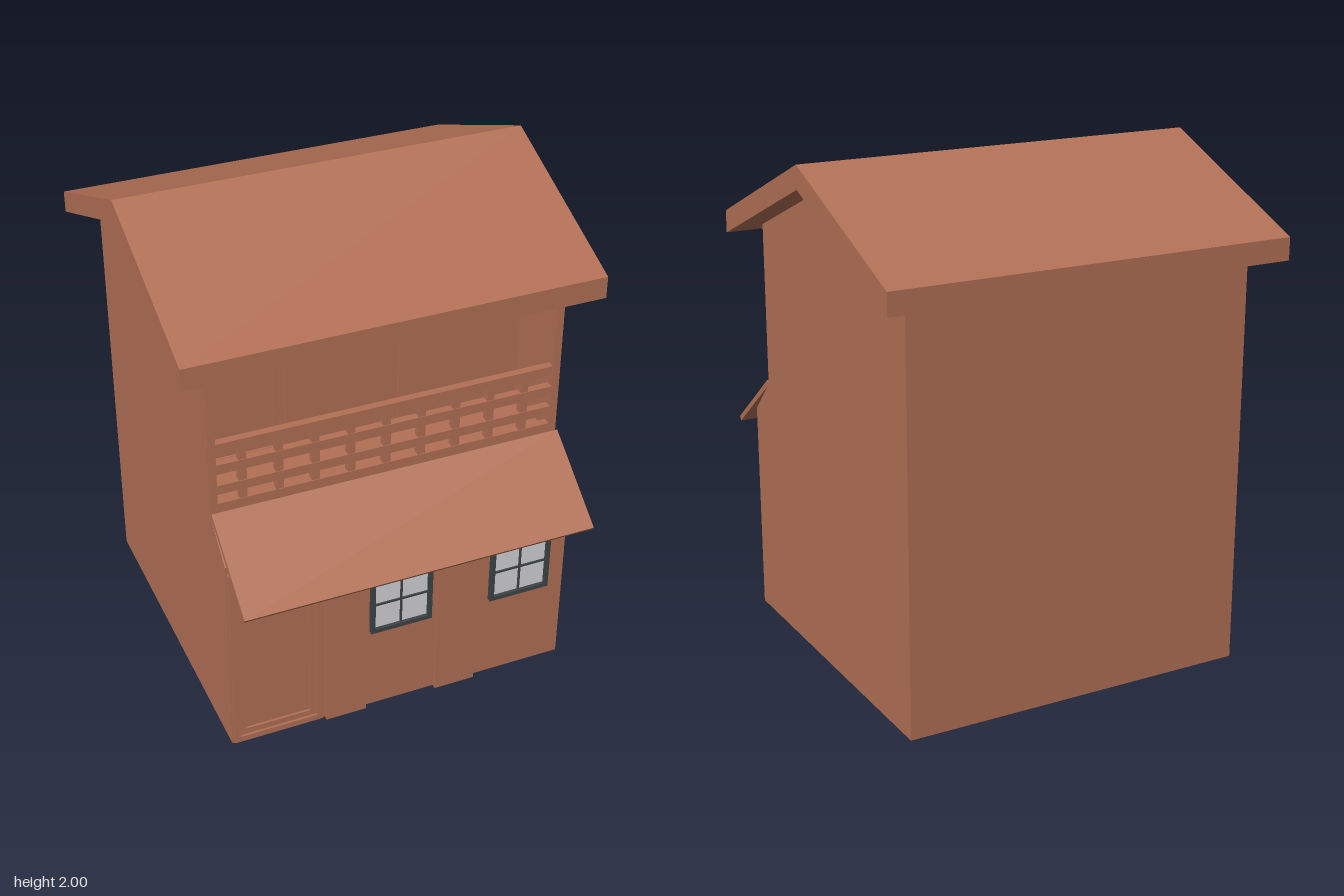
import * as THREE from 'three';

const brown = new THREE.MeshStandardMaterial({ color: 0xb27055 });
brown.name = 'terracotta';
const dark = new THREE.MeshStandardMaterial({ color: 0x3d4446 });
dark.name = 'frameGrey';
const pane = new THREE.MeshStandardMaterial({ color: 0xd6d6d8 });
pane.name = 'paleGlass';

export function createModel() {
  const house = new THREE.Group();
  house.name = 'house';

  const add = (name, geometry, material = brown, parent = house) => {
    const mesh = new THREE.Mesh(geometry, material);
    mesh.name = name;
    parent.add(mesh);
    return mesh;
  };
  // box given by its limits
  const box = (name, x0, x1, y0, y1, z0, z1, material, parent) => {
    const g = new THREE.BoxGeometry(x1 - x0, y1 - y0, z1 - z0);
    g.translate((x0 + x1) / 2, (y0 + y1) / 2, (z0 + z1) / 2);
    return add(name, g, material, parent);
  };
  // side profile of [z, y] points, swept from x0 to x1
  const sweep = (name, points, x0, x1) => {
    const shape = new THREE.Shape(points.map(([z, y]) => new THREE.Vector2(z, y)));
    const g = new THREE.ExtrudeGeometry(shape, { depth: x1 - x0, bevelEnabled: false });
    g.rotateY(-Math.PI / 2);
    g.translate(x1, 0, 0);
    return add(name, g);
  };
  // rectangular ring of width t
  const ring = (name, x0, x1, y0, y1, t, z0, z1, material, parent) => {
    const s = new THREE.Shape([[x0, y0], [x1, y0], [x1, y1], [x0, y1]].map(p => new THREE.Vector2(...p)));
    s.holes.push(new THREE.Path([[x0 + t, y0 + t], [x0 + t, y1 - t], [x1 - t, y1 - t], [x1 - t, y0 + t]]
      .map(p => new THREE.Vector2(...p))));
    const g = new THREE.ExtrudeGeometry(s, { depth: z1 - z0, bevelEnabled: false });
    g.translate(0, 0, z0);
    return add(name, g, material, parent);
  };

  const W = 0.705;

  // walls: ground floor, set-back upper room, cheeks beside the balcony
  sweep('groundFloor', [[-0.74, 0], [0.64, 0], [0.64, 0.86], [0.5, 1], [-0.74, 1]], -W, W);
  sweep('upperRoom', [[-0.74, 1], [0.22, 1], [0.22, 1.77], [-0.12, 1.91], [-0.74, 1.654]], -W, W);
  for (const s of [-1, 1]) {
    const a = s < 0 ? -W : 0.675;
    sweep('balconyCheek', [[0.22, 1], [0.5, 1], [0.5, 1.654], [0.22, 1.77]], a, a + 0.03);
  }

  // gabled roof slab
  sweep('roof', [[0.595, 1.615], [0.595, 1.703], [-0.12, 2], [-0.838, 1.703], [-0.838, 1.615], [-0.12, 1.91]],
    -0.818, 0.818);

  // awning
  sweep('awning', [[0.5, 0.998], [0.826, 0.75], [0.838, 0.766], [0.515, 1.014]], -W, W);

  // pilasters on both floors
  for (const [x0, x1] of [[-0.32, -0.152], [0.148, 0.318]]) {
    sweep('lowerPilaster', [[0.63, 0], [0.66, 0], [0.66, 0.84], [0.63, 0.87]], x0, x1);
    box('upperPilaster', x0 + 0.01, x1 - 0.01, 1, 1.76, 0.21, 0.24);
  }

  // front door
  const door = new THREE.Group();
  door.name = 'frontDoor';
  house.add(door);
  ring('doorFrame', -0.7, -0.335, 0.015, 0.83, 0.025, 0.635, 0.66, brown, door);
  ring('doorBorder', -0.675, -0.36, 0.04, 0.805, 0.025, 0.635, 0.65, brown, door);
  box('doorPanel', -0.612, -0.423, 0.48, 0.71, 0.635, 0.646, brown, door);

  // balcony door
  const upperDoor = new THREE.Group();
  upperDoor.name = 'balconyDoor';
  house.add(upperDoor);
  ring('doorFrame', -0.675, -0.315, 1.0, 1.605, 0.014, 0.21, 0.24, brown, upperDoor);
  ring('doorBorder', -0.661, -0.329, 1.014, 1.591, 0.022, 0.21, 0.23, brown, upperDoor);

  // balcony railing: rails with short posts between them
  const railing = new THREE.Group();
  railing.name = 'railing';
  house.add(railing);
  for (const [y0, y1] of [[0.995, 1.04], [1.08, 1.118], [1.168, 1.208], [1.26, 1.298]])
    box('rail', -0.675, 0.675, y0, y1, 0.465, 0.497, brown, railing);
  for (let i = -4; i <= 4; i++) {
    const x = i * 0.1418 - 0.006;
    box('railPost', x - 0.015, x + 0.015, 1.03, 1.27, 0.468, 0.494, brown, railing);
  }

  // ground floor windows
  for (const x of [-0.005, 0.503]) {
    const win = new THREE.Group();
    win.name = 'window';
    house.add(win);
    box('glass', x - 0.12, x + 0.12, 0.382, 0.622, 0.639, 0.646, pane, win);
    ring('windowFrame', x - 0.128, x + 0.128, 0.374, 0.63, 0.017, 0.635, 0.66, dark, win);
    box('verticalBar', x - 0.004, x + 0.004, 0.385, 0.62, 0.64, 0.652, dark, win);
    box('horizontalBar', x - 0.118, x + 0.118, 0.5, 0.508, 0.64, 0.652, dark, win);
  }
  return house;
}
